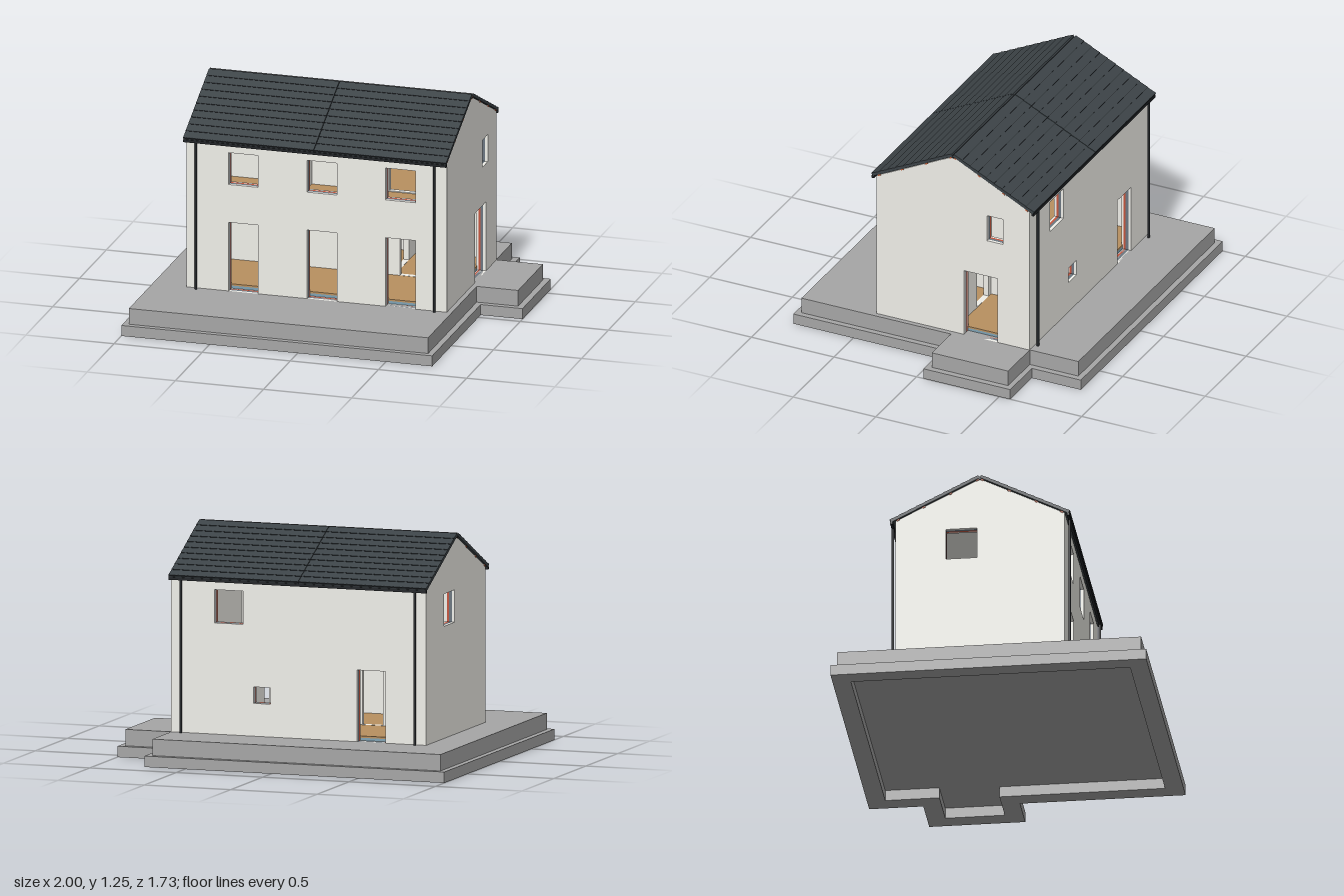
import * as THREE from 'three';

const COLORS = {
  plaster: 0xf0efe9, brick: 0xc4543c, frame: 0x6b7680, concrete: 0xa6a6a6, slate: 0x3c4347,
  dark: 0x202326, timber: 0xb89060, insulation: 0x7fa3b5, rafter: 0xb5552f,
};
const mats = {};
for (const k in COLORS) {
  mats[k] = new THREE.MeshStandardMaterial({ color: COLORS[k], flatShading: true });
}

// House outline: wall faces, base level, ridge position and roof slope
const X0 = -0.775, X1 = 0.702, Z0 = -0.536, Z1 = 0.39, RIDGE = -0.073;
const GROUND = 0.15, SUNK = 0.14, EAVE = 1.005, SLOPE = 0.495;

const poly = (pts) => new THREE.Shape(pts.map(([a, b]) => new THREE.Vector2(a, b)));
const rect = (a0, b0, a1, b1) => poly([[a0, b0], [a1, b0], [a1, b1], [a0, b1]]);

function extrude(shape, depth) {
  return new THREE.ExtrudeGeometry(shape, { depth, bevelEnabled: false });
}

export function createModel() {
  const model = new THREE.Group();

  const add = (name, geometry, mat, parent = model) => {
    const mesh = new THREE.Mesh(geometry, mats[mat]);
    mesh.name = name;
    parent.add(mesh);
    return mesh;
  };
  const box = (name, mat, x0, x1, y0, y1, z0, z1, parent) => {
    const g = new THREE.BoxGeometry(x1 - x0, y1 - y0, z1 - z0);
    g.translate((x0 + x1) / 2, (y0 + y1) / 2, (z0 + z1) / 2);
    return add(name, g, mat, parent);
  };

  // Stepped base: a footing ring below, a solid terrace above, with a side landing
  const outline = (xl, xb, xf, xe, zb, zf, e0, e1) => [
    [xl, zf], [xf, zf], [xf, e1], [xe, e1], [xe, e0], [xb, e0], [xb, zb], [xl, zb],
  ].map(([x, z]) => [x, -z]);
  const slab = (name, shape, y0, y1) => {
    const g = extrude(shape, y1 - y0);
    g.rotateX(-Math.PI / 2);
    g.translate(0, y0, 0);
    add(name, g, 'concrete');
  };
  const footing = poly(outline(-1, 0.735, 0.763, 1, -0.863, 0.863, -0.567, -0.042));
  footing.holes.push(poly(outline(-0.9, 0.635, 0.663, 0.9, -0.763, 0.763, -0.467, -0.142)));
  slab('footing', footing, 0, 0.06);
  slab('terrace', poly(outline(-0.967, 0.70, 0.73, 0.965, -0.831, 0.831, -0.537, -0.075)), 0.06, GROUND);

  // Walls in layers, so the openings show the frame and brick in their reveals
  const LAYERS = [
    ['Plaster', 'plaster', 0, 0.016], ['Frame', 'frame', 0.016, 0.016],
    ['Brick', 'brick', 0.032, 0.012], ['Lining', 'plaster', 0.044, 0.013],
  ];
  const wall = (name, makeShape, openings, place) => {
    const group = new THREE.Group();
    group.name = name;
    for (const [layer, mat, d, t] of LAYERS) {
      const shape = makeShape(d);
      for (const o of openings) shape.holes.push(rect(...o));
      place(add(name + layer, extrude(shape, t), mat, group), d, t);
    }
    model.add(group);
  };
  const roofY = (z) => EAVE + SLOPE * ((Z1 - RIDGE) - Math.abs(z - RIDGE));
  const longShape = (d) => rect(X0 + d, SUNK, X1 - d, EAVE);
  const gableShape = (d) => poly([
    [Z0 + d, SUNK], [Z1 - d, SUNK], [Z1 - d, roofY(Z1 - d)], [RIDGE, roofY(RIDGE)], [Z0 + d, roofY(Z0 + d)],
  ]);

  const bays = [[-0.535, -0.37], [-0.09, 0.08], [0.355, 0.525]];
  const frontOpenings = bays.flatMap(([a, b]) => [[a, GROUND, b, 0.543], [a, 0.76, b, 0.942]]);
  wall('frontWall', longShape, frontOpenings, (m, d, t) => { m.position.z = Z1 - d - t; });
  wall('backWall', longShape,
    [[-0.54, GROUND, -0.375, 0.543], [0.285, 0.76, 0.45, 0.942], [0.125, 0.33, 0.225, 0.42]],
    (m, d) => { m.position.z = Z0 + d; });
  wall('leftGable', gableShape,
    [[-0.342, GROUND, -0.14, 0.545], [-0.375, 0.765, -0.28, 0.92]],
    (m, d) => { m.rotation.y = -Math.PI / 2; m.position.x = X1 - d; });
  wall('rightGable', gableShape, [[-0.26, 0.765, -0.09, 0.942]],
    (m, d, t) => { m.rotation.y = -Math.PI / 2; m.position.x = X0 + d + t; });

  // Floors and ceiling
  const [ix0, ix1, iz0, iz1] = [X0 + 0.05, X1 - 0.05, Z0 + 0.05, Z1 - 0.05];
  box('floorInsulation', 'insulation', ix0, ix1, GROUND, 0.165, iz0, iz1);
  box('groundFloor', 'timber', ix0, ix1, 0.165, 0.175, iz0, iz1);
  box('upperFloorSlab', 'plaster', ix0, ix1, 0.60, 0.635, iz0, iz1);
  box('upperFloor', 'timber', ix0, ix1, 0.635, 0.65, iz0, iz1);
  box('ceiling', 'plaster', ix0, ix1, 0.965, 0.985, iz0, iz1);

  // Partitions along the house, with doorways
  const partition = (name, y0, y1, doorways) => {
    const shape = rect(ix0, y0, ix1, y1);
    for (const o of doorways) shape.holes.push(rect(...o));
    add(name, extrude(shape, 0.03), 'plaster').position.z = -0.09;
  };
  partition('groundPartition', 0.17, 0.60, [[0.30, 0.176, 0.44, 0.477], [-0.36, 0.176, -0.24, 0.477]]);
  partition('upperPartition', 0.645, 0.97, [[0.24, 0.655, 0.40, 0.96], [-0.435, 0.655, -0.30, 0.91]]);

  // Cross walls between the rooms
  box('groundCrossWall', 'plaster', 0.20, 0.23, 0.17, 0.60, -0.06, iz1);
  for (const x of [-0.23, 0.20]) box('upperCrossWall', 'plaster', x, x + 0.03, 0.645, 0.97, -0.06, iz1);
  box('upperBackCrossWall', 'plaster', 0.455, 0.485, 0.645, 0.97, iz0, -0.09);
  const hall = rect(iz0, 0.17, -0.09, 0.60);
  hall.holes.push(rect(-0.325, 0.176, -0.13, 0.475));
  const hallWall = add('hallCrossWall', extrude(hall, 0.03), 'plaster');
  hallWall.rotation.y = -Math.PI / 2;
  hallWall.position.x = 0.27;

  // Roof: each pitch is a shallow saw-tooth profile of overlapping slate courses
  const run = 0.484, rise = run * SLOPE, len = Math.hypot(run, rise);
  const cos = run / len, sin = rise / len, ROWS = 10, eaveZ = RIDGE + 0.005 + run;
  const panels = [[-0.785, -0.046], [-0.043, 0.706]];
  for (const side of [1, -1]) {
    const pitch = new THREE.Group();
    pitch.name = side > 0 ? 'frontPitch' : 'backPitch';
    model.add(pitch);
    // Point on the pitch: s runs up the slope, n stands out from it
    const at = (s, n) => {
      const z = eaveZ - s * cos + n * sin;
      return [RIDGE + side * (z - RIDGE), 1.008 + s * sin + n * cos];
    };
    const profile = [at(len, -0.011), at(0, -0.011)];
    for (let i = 0; i < ROWS; i++) {
      profile.push(at((i / ROWS) * len, 0.008), at(((i + 1) / ROWS) * len, 0.005));
    }
    for (const [a, b] of panels) {
      const g = extrude(poly(profile), b - a);
      g.rotateY(-Math.PI / 2);
      g.translate(b, 0, 0);
      add('slateCourses', g, 'slate', pitch);
    }
    const along = (name, mat, s, n, x0, x1, h, d) => {
      const [z, y] = at(s, n);
      const strip = box(name, mat, x0, x1, -h, h, -d, d, pitch);
      strip.position.set(0, y, z);
      strip.rotation.x = side * Math.atan(SLOPE);
    };
    // Dark course edges
    for (let i = 0; i < ROWS; i++) {
      along('courseEdge', 'dark', (i / ROWS) * len, 0.0035, -0.784, 0.705, 0.004, 0.001);
    }
    // Purlins under the slates
    for (const s of [0.04, 0.195, 0.36, 0.525]) {
      along('purlin', 'rafter', s, -0.015, X0 - 0.003, X1 + 0.002, 0.004, 0.009);
    }
    // Gutter and downpipes
    const gz = RIDGE + side * 0.483;
    box('gutter', 'dark', -0.785, 0.706, 0.987, 1.002, gz - 0.007, gz + 0.007, pitch);
    for (const x of [-0.715, 0.638]) {
      const pipe = add('downpipe', new THREE.CylinderGeometry(0.007, 0.007, 0.84, 12), 'dark', pitch);
      pipe.position.set(x, GROUND + 0.42, gz);
    }
  }
  // Ridge strip in the gap between the pitches
  box('ridgeStrip', 'dark', -0.784, 0.705, 1.227, 1.243, RIDGE - 0.006, RIDGE + 0.006);

  return model;
}
